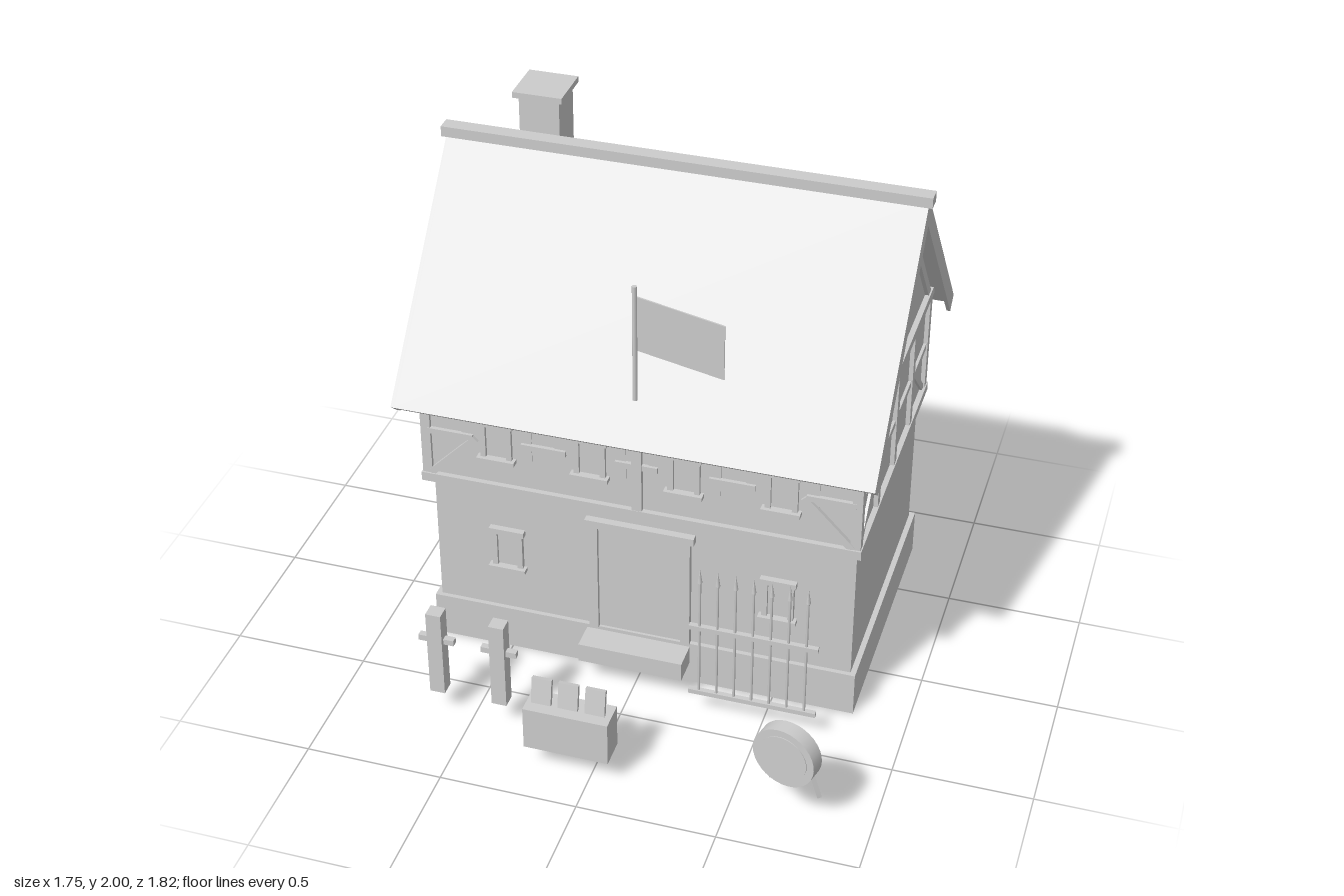
import * as THREE from 'three';

const stone = new THREE.MeshStandardMaterial({ color: 0xcccccc });
stone.name = 'pale grey';

export function createModel() {
  const model = new THREE.Group();
  model.name = 'timberHouse';

  const group = (name) => {
    const g = new THREE.Group();
    g.name = name;
    model.add(g);
    return g;
  };
  const add = (parent, name, geometry) => {
    const m = new THREE.Mesh(geometry, stone);
    m.name = name;
    parent.add(m);
    return m;
  };
  // Box given by its limits on each axis
  const box = (parent, name, x0, x1, y0, y1, z0, z1) => {
    const m = add(parent, name, new THREE.BoxGeometry(x1 - x0, y1 - y0, z1 - z0));
    m.position.set((x0 + x1) / 2, (y0 + y1) / 2, (z0 + z1) / 2);
    return m;
  };
  // Square timber running from point a to point b
  const beam = (parent, name, a, b, w, d = w) => {
    const p = new THREE.Vector3(...a), q = new THREE.Vector3(...b);
    const dir = q.clone().sub(p);
    const m = add(parent, name, new THREE.BoxGeometry(w, dir.length(), d));
    m.position.copy(p).add(q).multiplyScalar(0.5);
    m.quaternion.setFromUnitVectors(new THREE.Vector3(0, 1, 0), dir.normalize());
    return m;
  };

  const ZC = -0.255; // ridge line, centre of the house

  // Masonry ground floor and the jettied upper floor
  const walls = group('walls');
  box(walls, 'foundation', -0.8, 0.8, 0, 0.175, -0.765, 0.252);
  box(walls, 'groundFloor', -0.78, 0.78, 0.17, 0.74, -0.742, 0.235);
  box(walls, 'upperFloor', -0.785, 0.785, 0.735, 1.185, -0.785, 0.275);

  // Gable walls closing the attic
  const tri = new THREE.Shape([
    new THREE.Vector2(-0.53, 1.18), new THREE.Vector2(0.53, 1.18), new THREE.Vector2(0, 1.81)]);
  const gable = add(walls, 'gables', new THREE.ExtrudeGeometry(tri, { depth: 1.57, bevelEnabled: false }));
  gable.rotation.y = Math.PI / 2;
  gable.position.set(-0.785, 0, ZC);

  // Timber frame
  const frame = group('timberFrame');
  for (const [y0, y1] of [[0.73, 0.765], [1.16, 1.195]]) {
    for (const s of [-1, 1]) {
      const z = ZC + s * 0.53;
      box(frame, 'longBeam', -0.805, 0.805, y0, y1, z - 0.02, z + 0.02);
      box(frame, 'endBeam', s * 0.787 - 0.018, s * 0.787 + 0.018, y0, y1, ZC - 0.53, ZC + 0.53);
    }
  }
  for (const s of [-1, 1]) {
    const x = s * 0.783;
    // End walls: posts, rail, braces and gable timbers
    for (let i = -2; i <= 2; i++) {
      const z = ZC + i * 0.2625;
      box(frame, 'endPost', x - 0.018, x + 0.018, 0.76, 1.17, z - 0.018, z + 0.018);
    }
    box(frame, 'endRail', x - 0.013, x + 0.013, 0.935, 0.96, ZC - 0.52, ZC + 0.52);
    box(frame, 'kingPost', x - 0.016, x + 0.016, 1.19, 1.78, ZC - 0.016, ZC + 0.016);
    for (const t of [-1, 1]) {
      beam(frame, 'endBrace', [x, 0.765, ZC + t * 0.505], [x, 0.94, ZC + t * 0.32], 0.025, 0.025);
      beam(frame, 'gableRafter', [x, 1.18, ZC + t * 0.5], [x, 1.775, ZC], 0.032, 0.032);
    }
    // Braces on the long walls
    beam(frame, 'frontBrace', [s * 0.77, 0.765, 0.277], [s * 0.595, 0.945, 0.277], 0.026);
    beam(frame, 'backBrace', [s * 0.77, 0.765, -0.787], [s * 0.595, 0.945, -0.787], 0.026);
  }
  box(frame, 'frontMiddlePost', -0.018, 0.018, 0.76, 1.17, 0.26, 0.293);
  for (let i = -2; i <= 2; i++) {
    box(frame, 'backPost', i * 0.262 - 0.018, i * 0.262 + 0.018, 0.76, 1.17, -0.803, -0.77);
  }
  box(frame, 'backRail', -0.78, 0.78, 0.935, 0.96, -0.798, -0.775);
  for (const [a, b] of [[-0.78, -0.605], [-0.425, -0.26], [-0.08, 0.075], [0.26, 0.425], [0.605, 0.78]]) {
    box(frame, 'frontRail', a, b, 0.937, 0.959, 0.265, 0.29);
  }

  // Roof slopes with deeper boards along the gable edges
  const roof = group('roof');
  const slope = (name, s, length, thick, x) => {
    // Profile corners: outer eave, ridge, inner ridge, inner eave
    const ny = 0.653 * thick, nz = 0.757 * thick, drop = thick / 0.653;
    const shape = new THREE.Shape([
      new THREE.Vector2(0.653, 1.10), new THREE.Vector2(0, 1.857),
      new THREE.Vector2(0, 1.857 - drop), new THREE.Vector2(0.653 - nz, 1.10 - ny)]);
    const m = add(roof, name, new THREE.ExtrudeGeometry(shape, { depth: length, bevelEnabled: false }));
    m.rotation.y = -s * Math.PI / 2;
    m.position.set(x + s * length / 2, 0, ZC);
  };
  for (const s of [-1, 1]) {
    slope('roofSlope', s, 1.71, 0.032, 0);
    for (const e of [-1, 1]) slope('bargeBoard', s, 0.014, 0.066, e * 0.853);
  }
  box(roof, 'ridgeBeam', -0.875, 0.875, 1.838, 1.877, ZC - 0.028, ZC + 0.028);

  // Chimney
  const chimney = group('chimney');
  box(chimney, 'chimneyShaft', -0.622, -0.474, 1.5, 1.985, -0.485, -0.337);
  box(chimney, 'chimneyCap', -0.64, -0.458, 1.978, 2, -0.502, -0.32);

  // Windows: pane, jambs, lintel and sill
  const window = (x, y0, y1, z) => {
    const w = group('window');
    box(w, 'pane', x - 0.045, x + 0.045, y0, y1, z - 0.01, z + 0.005);
    for (const s of [-1, 1]) {
      box(w, 'jamb', x + s * 0.048 - 0.01, x + s * 0.048 + 0.01, y0, y1, z - 0.01, z + 0.018);
    }
    box(w, 'lintel', x - 0.066, x + 0.066, y1 - 0.01, y1 + 0.012, z - 0.01, z + 0.024);
    box(w, 'sill', x - 0.07, x + 0.07, y0 - 0.012, y0 + 0.004, z - 0.01, z + 0.032);
    return w;
  };
  for (const x of [-0.518, -0.172, 0.17, 0.518]) {
    const w = window(x, 0.877, 1.024, 0.275);
    box(w, 'wallPanel', x - 0.13, x + 0.13, 0.885, 1.015, 0.27, 0.279);
  }
  for (const x of [-0.507, 0.507]) window(x, 0.37, 0.527, 0.235);

  // Door and step
  const door = group('door');
  box(door, 'doorLeaf', -0.165, 0.155, 0.175, 0.635, 0.225, 0.242);
  box(door, 'doorJambLeft', 0.15, 0.185, 0.175, 0.635, 0.225, 0.258);
  box(door, 'doorJambRight', -0.195, -0.16, 0.175, 0.635, 0.225, 0.258);
  box(door, 'doorLintel', -0.205, 0.2, 0.63, 0.66, 0.225, 0.264);
  box(door, 'step', -0.2, 0.19, 0.1, 0.175, 0.268, 0.373);

  // Flag on its pole
  const flag = group('flag');
  add(flag, 'flagPole', new THREE.CylinderGeometry(0.009, 0.009, 0.45, 8)).position.set(-0.004, 1.455, 0.287);
  const cloth = new THREE.Shape([
    new THREE.Vector2(0, 1.43), new THREE.Vector2(0.307, 1.37),
    new THREE.Vector2(0.307, 1.58), new THREE.Vector2(0, 1.64)]);
  add(flag, 'flagCloth', new THREE.ExtrudeGeometry(cloth, { depth: 0.006, bevelEnabled: false })).position.z = 0.281;

  // Rack of spears
  const rack = group('spearRack');
  for (const y of [0.112, 0.405]) box(rack, 'rackRail', 0.232, 0.7, y - 0.009, y + 0.009, 0.411, 0.43);
  for (let i = 0; i < 7; i++) {
    const x = 0.27 + i * 0.0645;
    add(rack, 'spearShaft', new THREE.CylinderGeometry(0.005, 0.005, 0.5, 6)).position.set(x, 0.36, 0.421);
    add(rack, 'spearHead', new THREE.ConeGeometry(0.009, 0.06, 6)).position.set(x, 0.635, 0.421);
  }

  // Two posts with short crossbars
  for (const x of [-0.627, -0.393]) {
    const post = group('trainingPost');
    box(post, 'upright', x - 0.028, x + 0.028, 0.1, 0.45, 0.632, 0.686);
    box(post, 'crossbar', x - 0.066, x + 0.066, 0.315, 0.338, 0.647, 0.671);
  }

  // Crate with three tilted plates
  const crate = group('crate');
  box(crate, 'crateBody', -0.235, 0.073, 0.1, 0.272, 0.758, 0.867);
  for (const x of [-0.18, -0.083, 0.015]) {
    const plate = box(crate, 'plate', x - 0.036, x + 0.036, 0.275, 0.375, 0.806, 0.822);
    plate.rotation.x = -0.18;
  }

  // Round target propped on two legs
  const target = group('target');
  const turned = new THREE.Group();
  turned.name = 'targetDisc';
  turned.position.set(0.704, 0.307, 0.855);
  turned.rotation.y = -0.26;
  target.add(turned);
  add(turned, 'disc', new THREE.CylinderGeometry(0.117, 0.117, 0.056, 32)).rotation.x = Math.PI / 2;
  const face = add(turned, 'targetFace', new THREE.CylinderGeometry(0.09, 0.09, 0.006, 32));
  face.rotation.x = Math.PI / 2;
  face.position.z = 0.028;
  beam(target, 'targetLeg', [0.695, 0.39, 0.818], [0.63, 0.1, 0.758], 0.016);
  beam(target, 'targetLeg', [0.73, 0.39, 0.827], [0.81, 0.1, 0.808], 0.016);

  return model;
}
